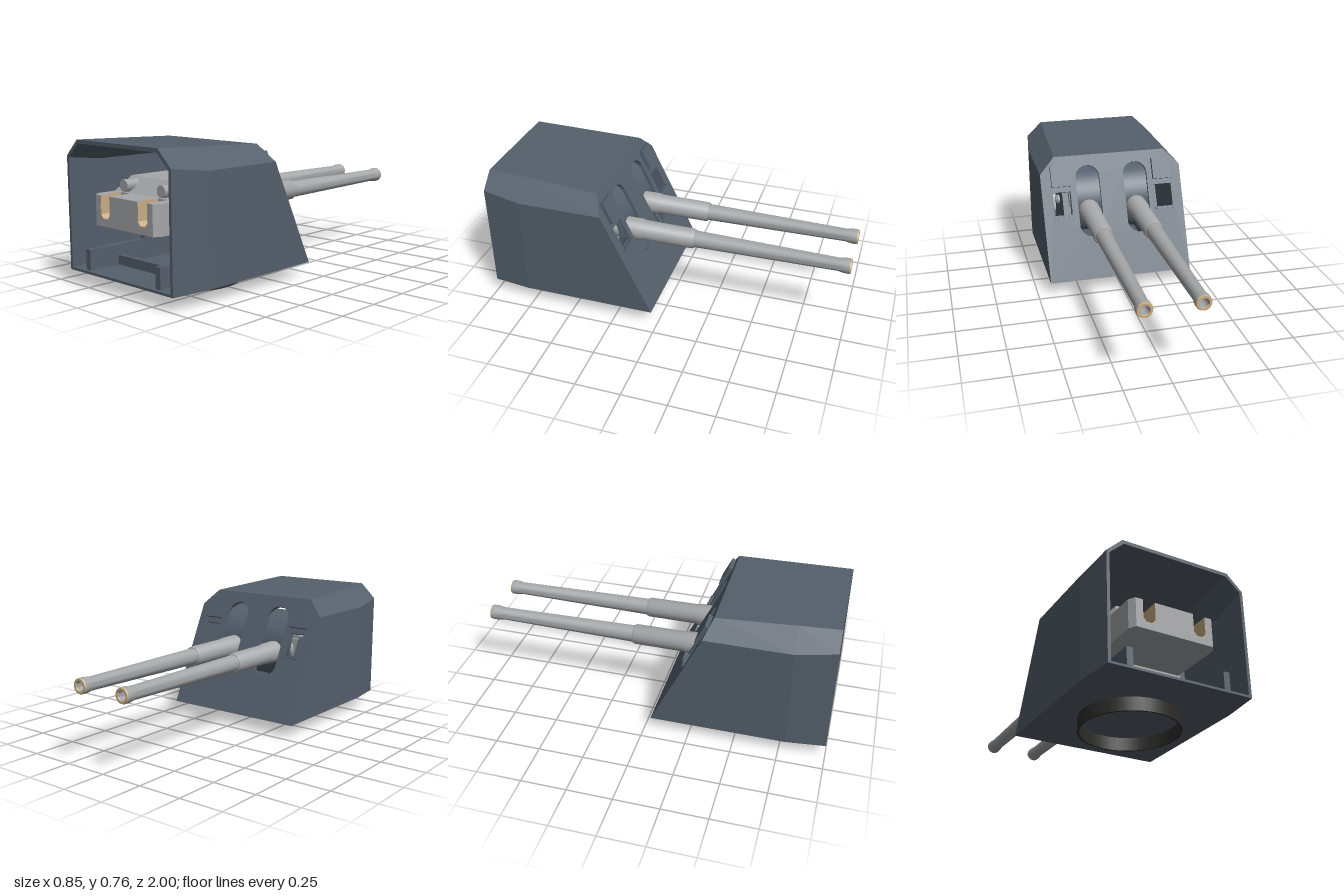
import * as THREE from 'three';
import { toCreasedNormals } from 'three/addons/utils/BufferGeometryUtils.js';

const material = (name, color, side = THREE.FrontSide) => {
  const m = new THREE.MeshStandardMaterial({ color, side });
  m.name = name;
  return m;
};

export function createModel() {
  const slate = material('slate blue armour', 0x55606c);
  const steel = material('light gun steel', 0xa6a7a9);
  const brass = material('pale brass', 0xc9ae86);
  const black = material('dark base', 0x2e2d2c, THREE.DoubleSide);

  const model = new THREE.Group();
  model.name = 'twinGunTurret';
  const add = (name, geo, mat, parent = model) => {
    const mesh = new THREE.Mesh(geo, mat);
    mesh.name = name;
    parent.add(mesh);
    return mesh;
  };
  const box = (x0, x1, y0, y1, z0, z1) =>
    new THREE.BoxGeometry(Math.abs(x1 - x0), y1 - y0, z1 - z0).translate((x0 + x1) / 2, (y0 + y1) / 2, (z0 + z1) / 2);
  const shapeOf = (pts) => new THREE.Shape(pts.map(([a, b]) => new THREE.Vector2(a, b)));
  const extrude = (shape, depth) => new THREE.ExtrudeGeometry(shape, { depth, bevelEnabled: false, curveSegments: 8 });
  // side profile given as (z, y), extruded across x from x0 to x1
  const sideProfile = (pts, x0, x1) =>
    extrude(shapeOf(pts.map(([z, y]) => [-z, y])), x1 - x0).rotateY(Math.PI / 2).translate(x0, 0, 0);

  // ---- Armoured shield: one chain of six-sided rings, outside then inside ----
  const slopeZ = (y) => 0.035 + (y - 0.073) * 0.482;
  const ring = (w, y0, ys, xr, yr, zAt) =>
    [[-w, y0], [w, y0], [w, ys], [xr, yr], [-xr, yr], [-w, ys]].map(([x, y]) => [x, y, zAt(y)]);
  const rings = [
    ring(0.425, 0.073, 0.648, 0.335, 0.737, slopeZ),
    ring(0.425, 0.073, 0.648, 0.318, 0.754, () => 0.785),
    ring(0.4, 0.073, 0.675, 0.31, 0.762, () => 1),
    ring(0.383, 0.086, 0.667, 0.302, 0.742, () => 1),
    ring(0.407, 0.086, 0.64, 0.31, 0.734, () => 0.785),
    ring(0.407, 0.086, 0.64, 0.327, 0.717, (y) => slopeZ(y) + 0.01),
  ];
  const pos = [];
  for (let r = 0; r < rings.length - 1; r++) {
    for (let i = 0; i < 6; i++) {
      const j = (i + 1) % 6, A = rings[r], B = rings[r + 1];
      pos.push(...A[i], ...A[j], ...B[j], ...A[i], ...B[j], ...B[i]);
    }
  }
  const shell = new THREE.BufferGeometry();
  shell.setAttribute('position', new THREE.Float32BufferAttribute(pos, 3));
  shell.computeVertexNormals();
  add('shieldShell', shell, slate);

  // ---- Sloping gun face with slots and sight ports ----
  const tilt = Math.atan(0.482), cos = Math.cos(tilt);
  const v = (y) => (y - 0.073) / cos;
  const face = shapeOf([[-0.425, 0], [0.425, 0], [0.425, v(0.648)], [0.335, v(0.737)], [-0.335, v(0.737)], [-0.425, v(0.648)]]);
  for (const s of [-1, 1]) {
    const slot = [];
    for (let i = 0; i < 16; i++) {
      const a = (i + 0.5) * Math.PI / 8;
      const mid = Math.sin(a) > 0 ? v(0.68) - 0.072 : v(0.3) + 0.072;
      slot.push(new THREE.Vector2(s * 0.145 + 0.073 * Math.cos(a), mid + 0.073 * Math.sin(a)));
    }
    face.holes.push(new THREE.Path(slot));
    face.holes.push(new THREE.Path([[0.255, 0.425], [0.36, 0.425], [0.36, 0.547], [0.255, 0.547]]
      .map(([x, y]) => new THREE.Vector2(s * x, v(y)))));
  }
  const faceGeo = extrude(face, 0.018).rotateX(tilt).translate(0, 0.073, 0.035);
  const fp = faceGeo.attributes.position;
  for (let i = 0; i < fp.count; i++) fp.setY(i, Math.max(fp.getY(i), 0.073));
  faceGeo.computeVertexNormals();
  add('slopingGunFace', faceGeo, slate);

  for (const s of [-1, 1]) {
    // raised shutter above each sight port, with a low sill below
    add('sightShutter', box(s * 0.25, s * 0.365, v(0.575), v(0.69), -0.022, 0.002)
      .rotateX(tilt).translate(0, 0.073, 0.035), slate);
    add('sightSill', box(s * 0.25, s * 0.365, v(0.412), v(0.425), -0.01, 0.018)
      .rotateX(tilt).translate(0, 0.073, 0.035), slate);
  }

  // ---- Base ring, open underneath ----
  add('baseRing', new THREE.CylinderGeometry(0.267, 0.267, 0.074, 40, 1, true).translate(0, 0.037, 0.512), black);
  add('baseRingInside', new THREE.CylinderGeometry(0.257, 0.257, 0.074, 40, 1, true).translate(0, 0.037, 0.512), black);
  add('baseRingRim', new THREE.RingGeometry(0.257, 0.267, 40).rotateX(Math.PI / 2).translate(0, 0, 0.512), black);

  // ---- Carriage inside the shield ----
  const axisY = 0.424, pivotZ = 0.47;
  for (const s of [-1, 1]) {
    add('carriageCheek', sideProfile(
      [[0.98, 0.085], [0.98, 0.195], [0.62, 0.195], [0.6, 0.505], [0.36, 0.505], [0.2, 0.195], [0.15, 0.085]],
      s > 0 ? 0.255 : -0.29, s > 0 ? 0.29 : -0.255), slate);
    add('trunnionPin', new THREE.CylinderGeometry(0.028, 0.028, 0.07, 16)
      .rotateZ(Math.PI / 2).translate(s * 0.265, axisY, pivotZ), steel);
    const cap = new THREE.CylinderGeometry(0.018, 0.03, 0.015, 16).rotateZ(-s * Math.PI / 2);
    add('trunnionCap', cap.translate(s * 0.307, axisY, pivotZ), steel);
  }
  add('crossBeam', box(-0.385, 0.385, 0.08, 0.138, 0.77, 0.8), slate);

  // curved mantlet behind the slots
  const arc = new THREE.Shape();
  arc.absarc(-pivotZ, axisY, 0.215, Math.PI / 2, -Math.PI * 0.25, true);
  arc.absarc(-pivotZ, axisY, 0.198, -Math.PI * 0.25, Math.PI / 2, false);
  const mantlet = new THREE.ExtrudeGeometry(arc, { depth: 0.508, bevelEnabled: false, curveSegments: 20 })
    .rotateY(Math.PI / 2).translate(-0.254, 0, 0);
  add('curvedMantlet', toCreasedNormals(mantlet, 0.5), slate);

  // ---- Breech assembly ----
  const breech = new THREE.Group();
  breech.name = 'breechAssembly';
  model.add(breech);
  add('cradle', box(-0.254, 0.254, 0.263, 0.357, 0.36, 0.62), steel, breech);
  add('breechBody', box(-0.243, 0.243, 0.328, 0.487, 0.38, 0.83), steel, breech);
  const u = (c, w, y, top) => [[c - w, top], [c - w, y + w * 0.6], [c - w * 0.5, y], [c + w * 0.5, y], [c + w, y + w * 0.6], [c + w, top]];
  add('notchedRear', extrude(shapeOf([[-0.22, 0.487], [-0.22, 0.328], [0.22, 0.328], [0.22, 0.487],
    ...u(0.145, 0.037, 0.365, 0.487).reverse(), ...u(-0.145, 0.037, 0.365, 0.487).reverse()]), 0.14)
    .translate(0, 0, 0.82), steel, breech);
  for (const s of [-1, 1]) {
    // chamfered end of the notched block
    add('blockEnd', extrude(shapeOf([[s * 0.22, -0.82], [s * 0.243, -0.82], [s * 0.243, -0.925], [s * 0.22, -0.96]]), 0.159)
      .rotateX(-Math.PI / 2).translate(0, 0.328, 0), steel, breech);
    // thin brass lining in each loading notch
    add('notchLining', extrude(shapeOf([...u(s * 0.145, 0.038, 0.364, 0.486),
      ...u(s * 0.145, 0.034, 0.369, 0.486).reverse()]), 0.138).translate(0, 0, 0.821), brass, breech);
    add('recoilRod', new THREE.CylinderGeometry(0.033, 0.033, 0.14, 8)
      .rotateY(Math.PI / 8).rotateX(Math.PI / 2).translate(s * 0.145, 0.525, 0.77), steel, breech);
  }
  // upper housing narrows toward its top
  const upper = box(-0.243, 0.243, 0.486, 0.565, 0.4, 0.82).toNonIndexed();
  const up = upper.attributes.position;
  for (let i = 0; i < up.count; i++) {
    if (up.getY(i) < 0.5) continue;
    up.setX(i, Math.sign(up.getX(i)) * 0.2);
    if (up.getZ(i) > 0.6) up.setZ(i, 0.74);
  }
  upper.computeVertexNormals();
  add('upperHousing', upper, steel, breech);

  // ---- Twin guns: lathe profiles as (radius, distance forward) ----
  const lathe = (pts) => toCreasedNormals(
    new THREE.LatheGeometry(pts.map(([r, d]) => new THREE.Vector2(r, d)), 24).rotateX(-Math.PI / 2), 0.6);
  for (const s of [-1, 1]) {
    const gun = new THREE.Group();
    gun.name = s > 0 ? 'leftGun' : 'rightGun';
    gun.position.set(s * 0.145, axisY, 0);
    model.add(gun);
    add('sleeve', lathe([[0.062, -0.6], [0.062, -0.17], [0.057, -0.16], [0.056, 0.125], [0.05, 0.137], [0.03, 0.137]]), steel, gun);
    add('barrel', lathe([[0.047, 0.13], [0.036, 0.93], [0.042, 0.965], [0.042, 0.992]]), steel, gun);
    add('muzzleRing', lathe([[0.042, 0.992], [0.039, 1], [0.027, 1], [0.025, 0.993]]), brass, gun);
    add('bore', lathe([[0.025, 0.993], [0.025, 0.86], [0.0005, 0.86]]), steel, gun);
  }
  return model;
}
